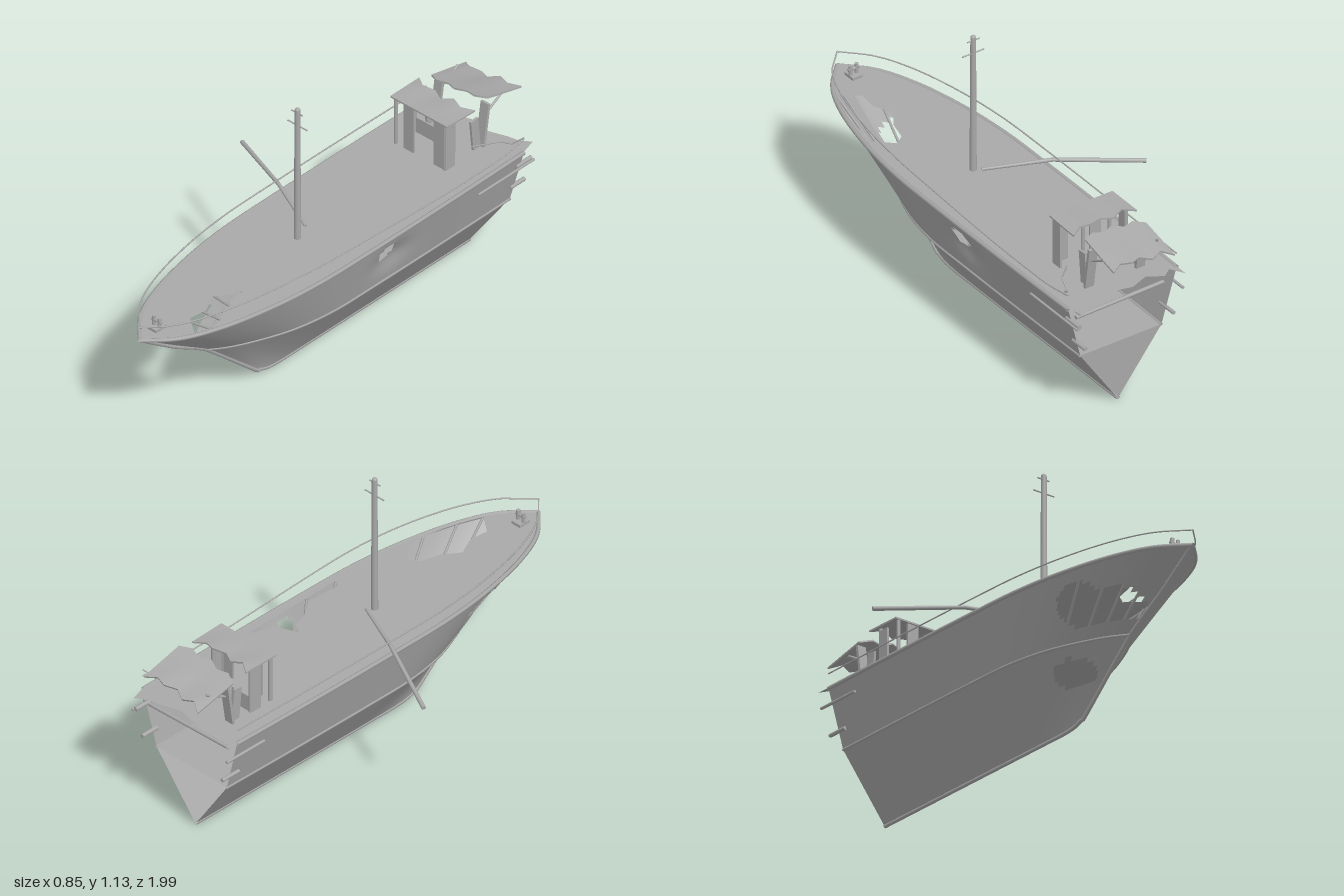
import * as THREE from 'three';

const CX = 0.155; // hull centreline
const weathered = new THREE.MeshStandardMaterial({ color: 0xa8a8a8, side: THREE.DoubleSide });
weathered.name = 'weathered grey';

const V = (x, y, z) => new THREE.Vector3(x, y, z);
const curve = pts => new THREE.CatmullRomCurve3(pts.map(p => V(...p)));

// half-breadth lines, stern to bow: [half width, y, z]
const DECK = curve([[0.25, 0.52, -0.87], [0.255, 0.52, -0.45], [0.255, 0.52, 0], [0.25, 0.52, 0.25],
  [0.225, 0.52, 0.48], [0.17, 0.52, 0.72], [0.1, 0.52, 0.88], [0, 0.52, 0.99]]);
const CHINE = curve([[0.187, 0.28, -0.86], [0.19, 0.28, -0.5], [0.19, 0.28, -0.1], [0.185, 0.28, 0.12],
  [0.155, 0.28, 0.3], [0.1, 0.28, 0.45], [0.05, 0.28, 0.55], [0, 0.28, 0.62]]);
const KEEL = curve([[0.002, 0.01, -0.84], [0.002, 0.01, -0.5], [0.002, 0.01, -0.15], [0.002, 0.01, 0],
  [0.002, 0.01, 0.12], [0.002, 0.01, 0.22], [0.002, 0.017, 0.29], [0, 0.04, 0.35]]);

export function createModel() {
  const group = new THREE.Group();
  const add = (name, geo) => {
    const m = new THREE.Mesh(geo, weathered);
    m.name = name;
    group.add(m);
    return m;
  };
  const tube = (name, pts, r, tension = 0, seg = 60) =>
    add(name, new THREE.TubeGeometry(new THREE.CatmullRomCurve3(pts, false, 'catmullrom', tension), seg, r, 6));
  const rod = (name, a, b, r0, r1 = r0, sides = 10) => {
    const d = b.clone().sub(a);
    const m = add(name, new THREE.CylinderGeometry(r1, r0, d.length(), sides));
    m.position.copy(a).addScaledVector(d, 0.5);
    m.quaternion.setFromUnitVectors(V(0, 1, 0), d.normalize());
    return m;
  };
  const box = (name, w, h, d, x, y, z) => {
    const m = add(name, new THREE.BoxGeometry(w, h, d));
    m.position.set(x, y, z);
    return m;
  };
  const along = (line, side, n = 40) => line.getPoints(n).map(p => V(CX + side * p.x, p.y, p.z));

  // hull skin between two lines, leaving out quads inside elliptical breaches [z, y, rz, ry]
  const skin = (name, low, high, side, breaches) => {
    const nu = 110, nv = 16, pos = [], idx = [];
    for (let i = 0; i <= nu; i++) {
      const a = low.getPoint(i / nu), b = high.getPoint(i / nu);
      for (let j = 0; j <= nv; j++) {
        const p = a.clone().lerp(b, j / nv);
        // buckled plating on the left side
        const dent = side > 0 && low === CHINE
          ? 0.02 * Math.exp(-(((p.z + 0.17) / 0.09) ** 2) - (((p.y - 0.4) / 0.06) ** 2)) : 0;
        pos.push(CX + side * (p.x - dent), p.y, p.z);
      }
    }
    for (let i = 0; i < nu; i++) for (let j = 0; j < nv; j++) {
      const k = i * (nv + 1) + j, y = pos[3 * k + 1], z = pos[3 * k + 2];
      if (breaches.some(([cz, cy, rz, ry]) => ((z - cz) / rz) ** 2 + ((y - cy) / ry) ** 2 < 1)) continue;
      const q = [k, k + 1, k + nv + 2, k, k + nv + 2, k + nv + 1];
      idx.push(...(side > 0 ? q : q.reverse()));
    }
    const g = new THREE.BufferGeometry();
    g.setAttribute('position', new THREE.Float32BufferAttribute(pos, 3));
    g.setIndex(idx);
    g.computeVertexNormals();
    add(name, g);
  };
  skin('upperHullLeft', CHINE, DECK, 1, [[-0.15, 0.43, 0.045, 0.035]]);
  skin('upperHullRight', CHINE, DECK, -1, [[0.5, 0.39, 0.1, 0.08], [0.62, 0.37, 0.1, 0.06]]);
  skin('lowerHullLeft', KEEL, CHINE, 1, []);
  skin('lowerHullRight', KEEL, CHINE, -1, [[0.36, 0.18, 0.09, 0.05]]);

  // flat floors cut from the hull lines, with torn openings
  const floor = (name, line, y, sternEdge, holes) => {
    const outline = [...along(line, 1), ...along(line, -1).reverse()].map(p => new THREE.Vector2(p.x, p.z));
    const shape = new THREE.Shape([...outline, ...sternEdge.map(p => new THREE.Vector2(...p))]);
    shape.holes = holes.map(h => new THREE.Path(h.map(p => new THREE.Vector2(...p))));
    add(name, new THREE.ShapeGeometry(shape).rotateX(Math.PI / 2).translate(0, y, 0));
  };
  floor('deck', DECK, 0.524,
    [[-0.095, -0.93], [-0.06, -0.87], [-0.02, -0.9], [0.04, -0.86], [0.12, -0.89], [0.2, -0.87], [0.29, -0.9], [0.34, -0.91], [0.385, -0.94]],
    [[[0.28, 0.42], [0.24, 0.45], [0.22, 0.53], [0.17, 0.6], [0.21, 0.68], [0.2, 0.76], [0.28, 0.82], [0.33, 0.66], [0.355, 0.49]],
     [[0.375, -0.34], [0.32, -0.23], [0.24, -0.2], [0.29, -0.17], [0.31, -0.1], [0.36, -0.03], [0.35, 0.12], [0.38, 0.13]]]);
  floor('lowerDeck', CHINE, 0.281, [], []);

  // rub rails, bent wire railings and frames
  for (const s of [1, -1]) {
    const label = s > 0 ? 'Left' : 'Right';
    tube('gunwale' + label, along(DECK, s), 0.009, 0.5, 100);
    tube('chineRail' + label, along(CHINE, s), 0.006, 0.5, 100);
    tube('railing' + label, along(DECK, s, 24).map((p, i) => {
      const wave = s > 0 ? 0.018 * Math.sin((p.z + 0.1) * 2.9) * (p.z > 0.9 ? 0 : 1) : 0;
      return V(p.x, 0.582 + wave * (i > 0 ? 1 : 0), p.z);
    }), 0.003, 0.5, 100);
    for (let i = 1; i < 9; i++) {
      const u = 0.2 + i * 0.085, a = CHINE.getPoint(u), b = DECK.getPoint(u);
      rod('frame' + label, V(CX + s * (a.x - 0.012), a.y, a.z), V(CX + s * (b.x - 0.012), b.y, b.z), 0.005, 0.005, 6);
    }
  }
  tube('keelAndStem', [...along(KEEL, 0, 24), V(CX, 0.28, 0.62), V(CX, 0.39, 0.8), V(CX, 0.52, 0.985)], 0.008, 0.3, 120);
  tube('brokenRailingEnd', [V(0.29, 0.582, -0.7), V(0.37, 0.603, -0.78), V(0.38, 0.57, -0.83), V(0.415, 0.6, -0.86)], 0.003);

  // mast with two cross bars and a fallen boom
  rod('mast', V(0.15, 0.524, 0.11), V(0.15, 1.12, 0.11), 0.014, 0.011, 16);
  add('mastCap', new THREE.SphereGeometry(0.011, 12, 8)).position.set(0.15, 1.12, 0.11);
  rod('lowerCrossBar', V(0.1, 1.05, 0.11), V(0.2, 1.05, 0.11), 0.003);
  rod('upperCrossBar', V(0.12, 1.107, 0.11), V(0.176, 1.107, 0.11), 0.003);
  rod('boomHeel', V(0.145, 0.55, 0.06), V(-0.1, 0.562, -0.055), 0.006, 0.008);
  rod('boom', V(-0.1, 0.562, -0.055), V(-0.425, 0.515, -0.205), 0.008, 0.009);

  // bow bitts
  box('bittBase', 0.045, 0.012, 0.055, 0.15, 0.53, 0.89);
  for (const x of [0.136, 0.164]) rod('bitt', V(x, 0.524, 0.89), V(x, 0.577, 0.89), 0.008);
  rod('bittBar', V(0.125, 0.558, 0.89), V(0.175, 0.558, 0.89), 0.006);

  // wheelhouse: buckled roof sheets with ragged ends
  const roof = (name, w, d, ragged) => {
    const g = new THREE.BoxGeometry(w, 0.007, d, 6, 1, 4);
    const p = g.attributes.position;
    for (let i = 0; i < p.count; i++) {
      const k = Math.round((p.getX(i) / w + 0.5) * 6), t = 0.5 - p.getZ(i) / d;
      const tooth = [0.02, -0.012, 0.006, -0.02, 0.004, -0.012, 0.016][k];
      p.setY(i, p.getY(i) + 0.007 * Math.sin(k * 1.9) * t);
      p.setZ(i, p.getZ(i) - tooth * (t > 0.9 ? 1 : ragged && t < 0.1 ? 0.8 : 0));
    }
    g.computeVertexNormals();
    return add(name, g);
  };
  roof('frontRoof', 0.29, 0.14, false).position.set(0.137, 0.735, -0.645);
  const fallen = roof('rearRoof', 0.285, 0.19, true);
  fallen.position.set(0.138, 0.715, -0.88);
  fallen.rotation.set(-0.22, 0, 0.12);

  // wheelhouse posts and wall remnants
  for (const [x, z] of [[0.012, -0.585], [0.263, -0.585], [0.012, -0.69], [0.21, -0.69]])
    rod('cabinPost', V(x, 0.52, z), V(x, 0.735, z), 0.008);
  box('frontWallPanel', 0.05, 0.212, 0.008, 0.08, 0.628, -0.585);
  box('frontWallPanel', 0.055, 0.212, 0.008, 0.235, 0.628, -0.585);
  box('sideWallPanel', 0.008, 0.212, 0.05, 0.268, 0.628, -0.605);
  box('sideWallPanel', 0.008, 0.2, 0.045, 0.008, 0.622, -0.665);
  box('sill', 0.1, 0.07, 0.006, 0.06, 0.557, -0.69);
  for (const x of [0.02, 0.255]) {
    box('rearWallPanel', 0.01, 0.14, 0.04, x, 0.592, -0.76).rotation.x = 0.1;
    box('rearWallPanel', 0.04, 0.19, 0.012, x, 0.615, -0.805).rotation.x = -0.15;
    rod('roofBrace', V(x, 0.65, -0.81), V(x, 0.712, -0.92), 0.005);
  }

  // broken timbers projecting at the stern
  for (const [x, y, z0, z1, r] of [[0.402, 0.456, -0.62, -0.93, 0.005], [0.39, 0.462, -0.84, -0.925, 0.009],
    [0.36, 0.35, -0.84, -0.92, 0.009], [-0.09, 0.456, -0.72, -0.92, 0.006], [-0.055, 0.35, -0.82, -0.91, 0.008],
    [0.37, 0.5, -0.8, -0.9, 0.005]])
    rod('brokenTimber', V(x, y, z0), V(x, y, z1), r);
  rod('sternBeam', V(-0.04, 0.47, -0.86), V(0.37, 0.47, -0.87), 0.008);
  return group;
}
